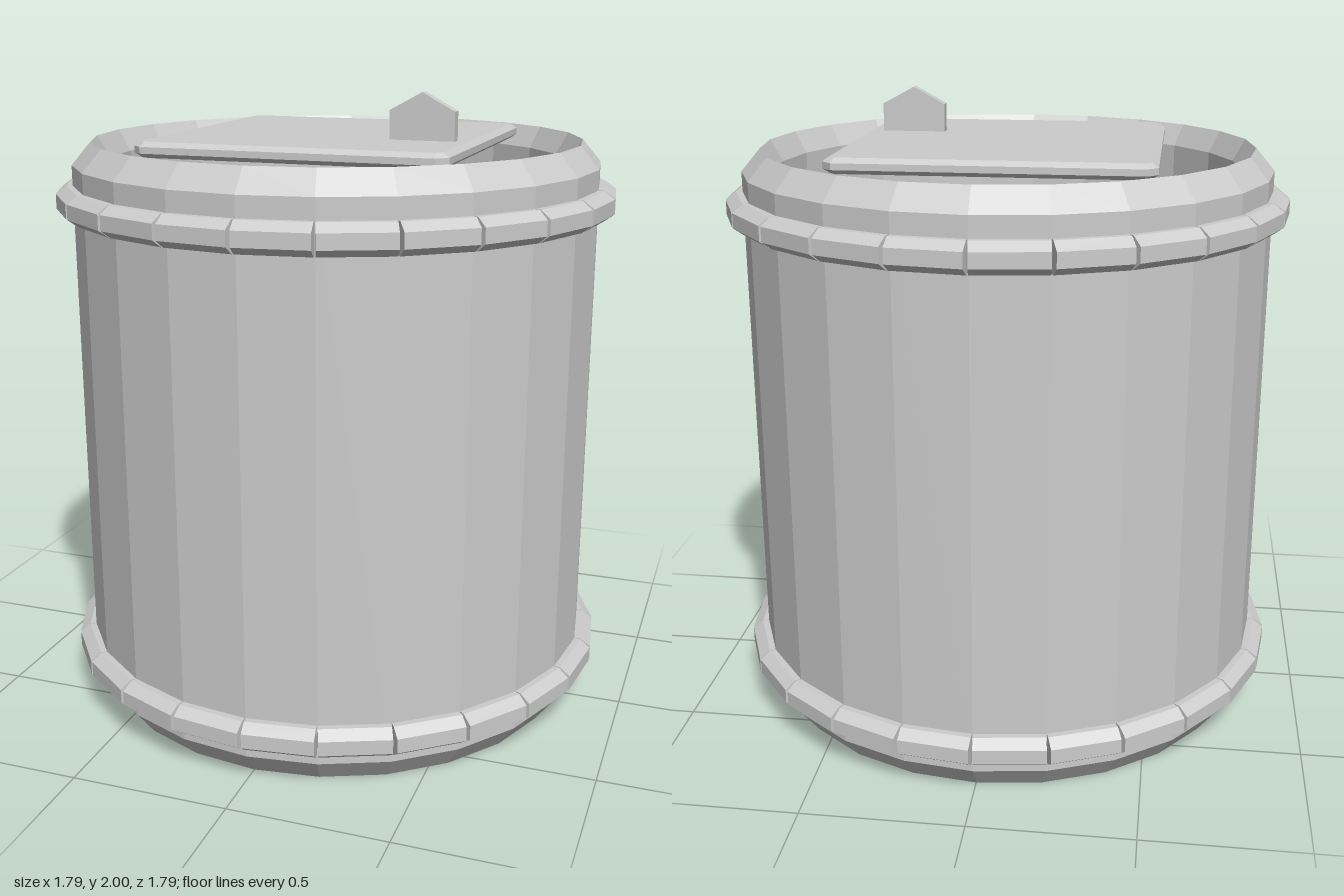
import * as THREE from 'three';
import { ConvexGeometry } from 'three/addons/geometries/ConvexGeometry.js';

const SIDES = 24;

export function createModel() {
  const group = new THREE.Group();
  const metal = new THREE.MeshStandardMaterial({ color: 0xcccccc, flatShading: true });
  metal.name = 'grey metal';

  const add = (name, geometry, parent = group) => {
    const mesh = new THREE.Mesh(geometry, metal);
    mesh.name = name;
    parent.add(mesh);
    return mesh;
  };

  // Open-ended barrel with chamfered rims, closed wall profile
  const wall = [
    [0.74, 0.07], [0.78, 0], [0.84, 0.08], [0.84, 1.77],
    [0.78, 1.84], [0.74, 1.77], [0.74, 0.07],
  ].map(([r, y]) => new THREE.Vector2(r, y));
  add('barrel', new THREE.LatheGeometry(wall, SIDES));

  // One bevelled band segment; its outer face is narrower to leave a notch
  const points = [];
  for (const side of [-1, 1]) {
    for (const up of [-1, 1]) {
      for (const [r, h, gap] of [[0.83, 0.047, 0.002], [0.86, 0.047, 0.003], [0.893, 0.023, 0.007]]) {
        const a = side * (Math.PI / SIDES - gap);
        points.push(new THREE.Vector3(r * Math.sin(a), up * h, r * Math.cos(a)));
      }
    }
  }
  const segment = new ConvexGeometry(points);

  // Two bands of segments around the barrel
  for (const [name, y] of [['lowerBand', 0.162], ['upperBand', 1.66]]) {
    const band = new THREE.Group();
    band.name = name;
    band.position.y = y;
    for (let i = 0; i < SIDES; i++) {
      add('bandSegment', segment, band).rotation.y = ((i + 0.5) / SIDES) * Math.PI * 2;
    }
    group.add(band);
  }

  // Square lid plate with bevelled edges and clipped corners
  const s = 0.468, c = 0.448;
  const square = new THREE.Shape([
    [-c, -s], [c, -s], [s, -c], [s, c], [c, s], [-c, s], [-s, c], [-s, -c],
  ].map(([x, y]) => new THREE.Vector2(x, y)));
  const plate = new THREE.ExtrudeGeometry(square, {
    depth: 0.02, bevelThickness: 0.014, bevelSize: 0.02, bevelSegments: 1,
  });
  plate.rotateX(-Math.PI / 2);
  add('lid', plate).position.y = 1.823;

  // Pointed handle standing on the lid
  const tab = new THREE.Shape([
    [0.227, 1.84], [0.43, 1.84], [0.43, 1.945], [0.328, 2], [0.227, 1.945],
  ].map(([x, y]) => new THREE.Vector2(x, y)));
  const handle = new THREE.ExtrudeGeometry(tab, { depth: 0.04, bevelEnabled: false });
  add('handle', handle).position.z = 0.133;

  return group;
}
